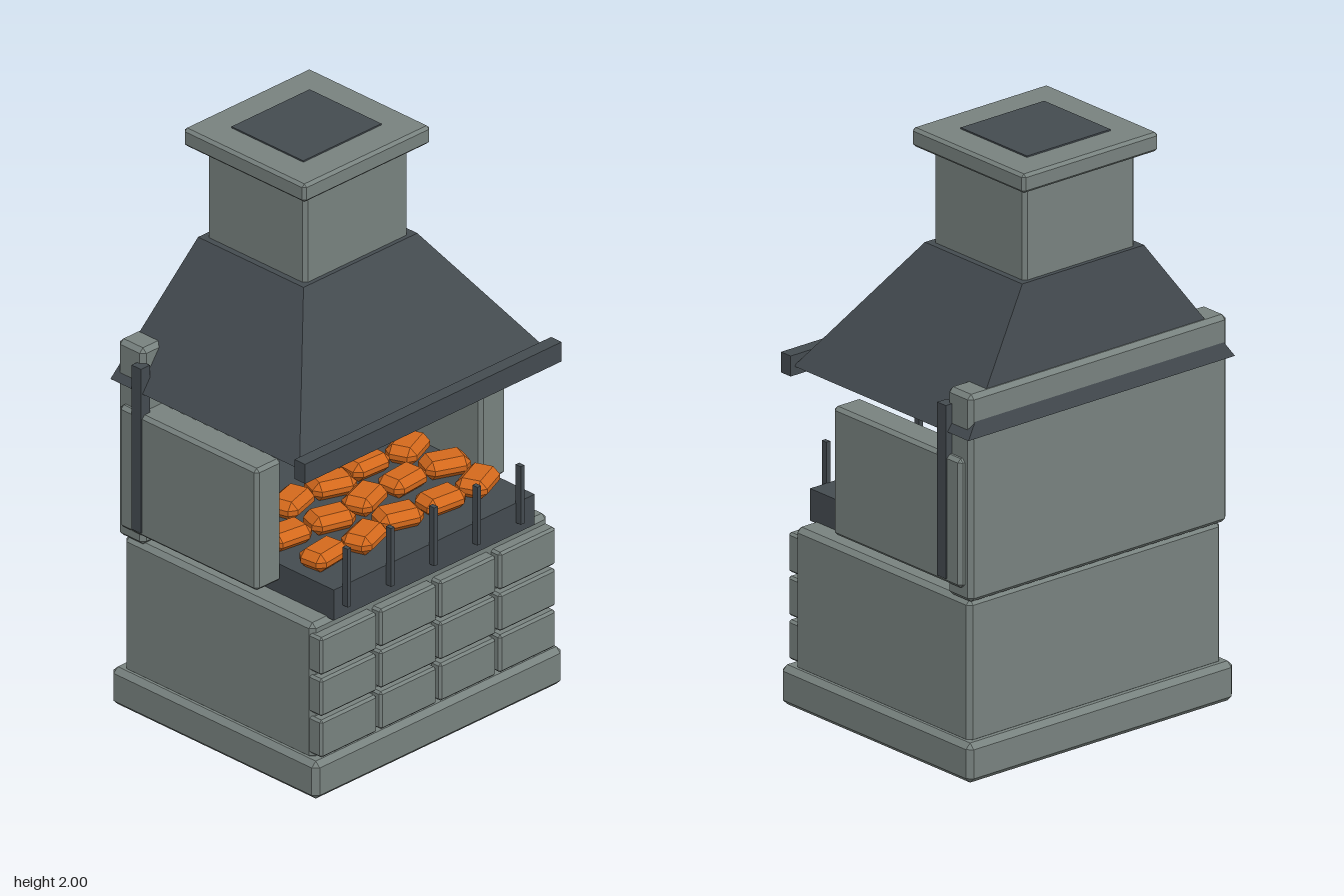
import * as THREE from 'three';
import { ConvexGeometry } from 'three/addons/geometries/ConvexGeometry.js';

const material = (name, color) => {
  const m = new THREE.MeshStandardMaterial({ color });
  m.name = name;
  return m;
};

// Box with every edge cut by a flat chamfer c
function chamferedBox(w, h, d, c) {
  const points = [];
  for (const x of [-1, 1]) for (const y of [-1, 1]) for (const z of [-1, 1]) {
    const X = w / 2, Y = h / 2, Z = d / 2;
    points.push(
      new THREE.Vector3(x * X, y * (Y - c), z * (Z - c)),
      new THREE.Vector3(x * (X - c), y * Y, z * (Z - c)),
      new THREE.Vector3(x * (X - c), y * (Y - c), z * Z));
  }
  return new ConvexGeometry(points);
}

export function createModel() {
  const group = new THREE.Group();
  group.name = 'barbecueFireplace';
  const stone = material('grey stone', 0x78827f);
  const metal = material('dark metal', 0x444b50);
  const ember = material('glowing coal', 0xd4691c);

  // Adds a block given by its extents, chamfered when c > 0
  function block(name, mat, [x0, x1], [y0, y1], [z0, z1], c = 0) {
    const w = x1 - x0, h = y1 - y0, d = z1 - z0;
    const geometry = c ? chamferedBox(w, h, d, c) : new THREE.BoxGeometry(w, h, d);
    const mesh = new THREE.Mesh(geometry, mat);
    mesh.name = name;
    mesh.position.set((x0 + x1) / 2, (y0 + y1) / 2, (z0 + z1) / 2);
    group.add(mesh);
    return mesh;
  }

  // Plinth and lower body
  block('plinth', stone, [-0.557, 0.557], [0, 0.135], [-0.462, 0.462], 0.018);
  block('lowerBody', stone, [-0.53, 0.53], [0.12, 0.61], [-0.43, 0.42], 0.016);

  // Front brickwork, three rows of four
  for (let row = 0; row < 3; row++) for (let col = 0; col < 4; col++) {
    const x = -0.53 + col * 0.267, y = 0.145 + row * 0.149;
    block('frontBrick', stone, [x, x + 0.252], [y, y + 0.135], [0.4, 0.46], 0.008);
  }

  // Fire tray with upright guard bars
  block('fireTray', metal, [-0.45, 0.45], [0.605, 0.715], [-0.33, 0.436]);
  for (let i = 0; i < 5; i++) {
    const x = -0.402 + i * 0.194;
    block('guardBar', metal, [x - 0.008, x + 0.008], [0.645, 0.855], [0.435, 0.458]);
  }

  // Back wall, side walls and corner posts
  block('backWall', stone, [-0.54, 0.54], [0.61, 1.318], [-0.447, -0.33], 0.015);
  for (const s of [-1, 1]) {
    const span = (a, b) => (s > 0 ? [a, b] : [-b, -a]);
    block('sideWall', stone, span(0.445, 0.56), [0.657, 1.097], [-0.42, 0.2], 0.012);
    block('cornerPost', metal, span(0.525, 0.565), [0.675, 1.267], [-0.356, -0.314]);
  }

  // Hood: a box tapered to the chimney
  const hood = block('hood', metal, [-0.5, 0.5], [1.175, 1.605], [-0.5, 0.5]);
  hood.position.set(0, 1.39, 0);
  const p = hood.geometry.attributes.position;
  for (let i = 0; i < p.count; i++) {
    const top = p.getY(i) > 0;
    p.setX(i, Math.sign(p.getX(i)) * (top ? 0.255 : 0.558));
    p.setZ(i, p.getZ(i) > 0 ? (top ? 0.105 : 0.39) : (top ? -0.368 : -0.458));
  }
  hood.geometry.computeVertexNormals();
  block('hoodFrontBar', metal, [-0.575, 0.575], [1.145, 1.215], [0.385, 0.432]);

  // Chimney, cap and flue cover
  block('chimney', stone, [-0.233, 0.233], [1.59, 1.945], [-0.353, 0.09], 0.012);
  block('chimneyCap', stone, [-0.284, 0.284], [1.93, 1.995], [-0.408, 0.138], 0.01);
  block('flueCover', metal, [-0.175, 0.175], [1.992, 2], [-0.298, 0.024]);

  // Coals, three staggered rows turned by varying angles
  [0.285, 0.12, -0.035].forEach((z, row) => {
    for (let i = 0; i < 5; i++) {
      const k = row * 5 + i;
      const x = -0.345 + i * 0.172 + (row === 1 ? 0.008 : 0);
      const coal = block('coal', ember, [x - 0.078, x + 0.078], [0.714, 0.78],
        [z - 0.055, z + 0.055], 0.024);
      coal.position.z += 0.012 * Math.sin(k * 2.3);
      coal.rotation.y = 0.4 * Math.sin(k * 1.9 + 0.3);
    }
  });
  return group;
}
